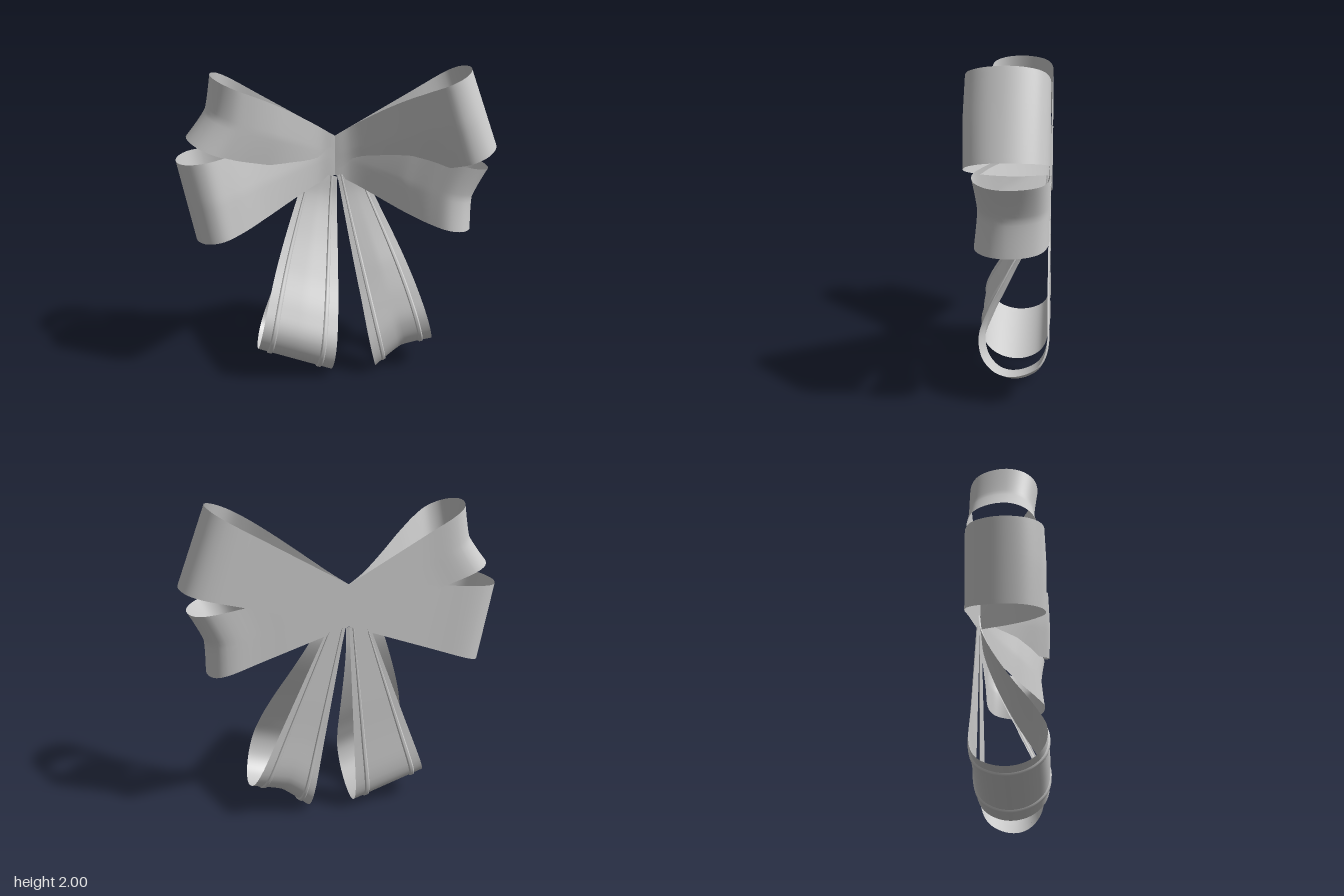
import * as THREE from 'three';

const material = new THREE.MeshStandardMaterial({ color: 0xcccccc, side: THREE.DoubleSide });

// Side profile of every loop: x = share of the way to the tip, y = depth (z).
const profile = new THREE.CatmullRomCurve3([
  [0, -0.225], [0.12, -0.205], [0.3, -0.12], [0.5, 0.01], [0.68, 0.15], [0.8, 0.218],
  [0.9, 0.2], [0.97, 0.12], [1, 0], [0.985, -0.11], [0.94, -0.19], [0.86, -0.23],
  [0.6, -0.232], [0, -0.232],
].map(([u, z]) => new THREE.Vector3(u, z, 0)), false, 'centripetal');
const TIP = 8 / 13; // curve parameter where the loop turns back

// Point on a ribbon loop: t runs along the loop, v runs from edge a to edge b.
// kink folds the middle of the ribbon inwards, depth scales the loop in z.
function ribbonPoint({ a, b, kink = 0, depth = 1 }, t, v) {
  const p = profile.getPoint(t);
  const front = t < TIP;
  const outward = new THREE.Vector2(b.tip[0] - a.tip[0], b.tip[1] - a.tip[1]).normalize();
  const mid = 1 - Math.abs(2 * v - 1) ** 1.25;
  const u = p.x * (1 - kink * mid);
  const edgePoint = (e, sign) => {
    const start = new THREE.Vector2(...(front ? e.start : e.back ?? e.start));
    const bow = front ? e.bow * Math.sin(Math.PI * p.x ** 1.3) : 0;
    return start.lerp(new THREE.Vector2(...e.tip), u).addScaledVector(outward, sign * bow);
  };
  const xy = edgePoint(a, -1).lerp(edgePoint(b, 1), v);
  let z = p.y * depth;
  if (kink && z > 0) z *= 0.82 - 0.1 * mid;
  if (front && !kink) z += 0.015 * mid * Math.sin(Math.PI * p.x);
  return [xy.x, xy.y, z];
}

// Sheet over the part of the ribbon between v0 and v1; its inner columns are
// lifted along the normals, so a lifted strip has sloping sides.
function ribbonMesh(name, spec, v0 = 0, v1 = 1, cols = 16, lift = 0) {
  const rows = 78, pos = [], index = [];
  for (let i = 0; i <= rows; i++) {
    for (let j = 0; j <= cols; j++) {
      pos.push(...ribbonPoint(spec, i / rows, v0 + (v1 - v0) * j / cols));
      if (i < rows && j < cols) {
        const k = i * (cols + 1) + j, n = k + cols + 1;
        index.push(k, n, k + 1, k + 1, n, n + 1);
      }
    }
  }
  const geometry = new THREE.BufferGeometry();
  geometry.setAttribute('position', new THREE.Float32BufferAttribute(pos, 3));
  geometry.setIndex(index);
  geometry.computeVertexNormals();
  const P = geometry.attributes.position, N = geometry.attributes.normal;
  for (let i = 0; lift && i < P.count; i++) {
    const j = i % (cols + 1), d = j === 0 || j === cols ? 0 : lift;
    P.setXYZ(i, P.getX(i) + N.getX(i) * d, P.getY(i) + N.getY(i) * d, P.getZ(i) + N.getZ(i) * d);
  }
  geometry.computeVertexNormals();
  const mesh = new THREE.Mesh(geometry, material);
  mesh.name = name;
  return mesh;
}

const edge = (start, tip, bow, back) => ({ start, tip, bow, back });

export function createModel() {
  const group = new THREE.Group();
  group.name = 'ribbonBow';
  const top = [0, 1.54], bottom = [0, 1.28];

  // Four bow loops fanning out from the middle
  const loops = {
    upperLeftLoop: { a: edge(bottom, [0.985, 1.53], 0.04), b: edge(top, [0.805, 2], 0.03) },
    lowerLeftLoop: { a: edge(bottom, [0.85, 0.985], 0.04), b: edge(top, [0.945, 1.38], 0.02), kink: 0.05 },
    upperRightLoop: { a: edge(top, [-0.76, 1.98], 0.03), b: edge(bottom, [-0.92, 1.61], 0.02), kink: 0.05 },
    lowerRightLoop: { a: edge(top, [-0.99, 1.47], 0.02), b: edge(bottom, [-0.895, 0.97], 0.04) },
  };
  for (const [name, spec] of Object.entries(loops)) group.add(ribbonMesh(name, spec));

  // Two hanging loops, each with a narrow raised trim strip near both edges
  const tails = {
    rightTail: {
      a: edge([-0.19, 1.31], [-0.54, 0.18], 0.03, [-0.14, 1.25]),
      b: edge([0.015, 1.27], [-0.06, 0.005], 0.025, [-0.005, 1.27]),
      depth: 0.97,
    },
    leftTail: {
      a: edge([0.015, 1.28], [0.25, 0.005], 0.01, [0.02, 1.28]),
      b: edge([0.18, 1.31], [0.625, 0.195], 0.04, [0.14, 1.25]),
      kink: 0.04, depth: 0.97,
    },
  };
  for (const [name, spec] of Object.entries(tails)) {
    const tail = new THREE.Group();
    tail.name = name;
    tail.add(ribbonMesh(name + 'Ribbon', spec));
    tail.add(ribbonMesh(name + 'TrimA', spec, 0.12, 0.19, 6, 0.009));
    tail.add(ribbonMesh(name + 'TrimB', spec, 0.79, 0.86, 6, 0.009));
    group.add(tail);
  }
  return group;
}
